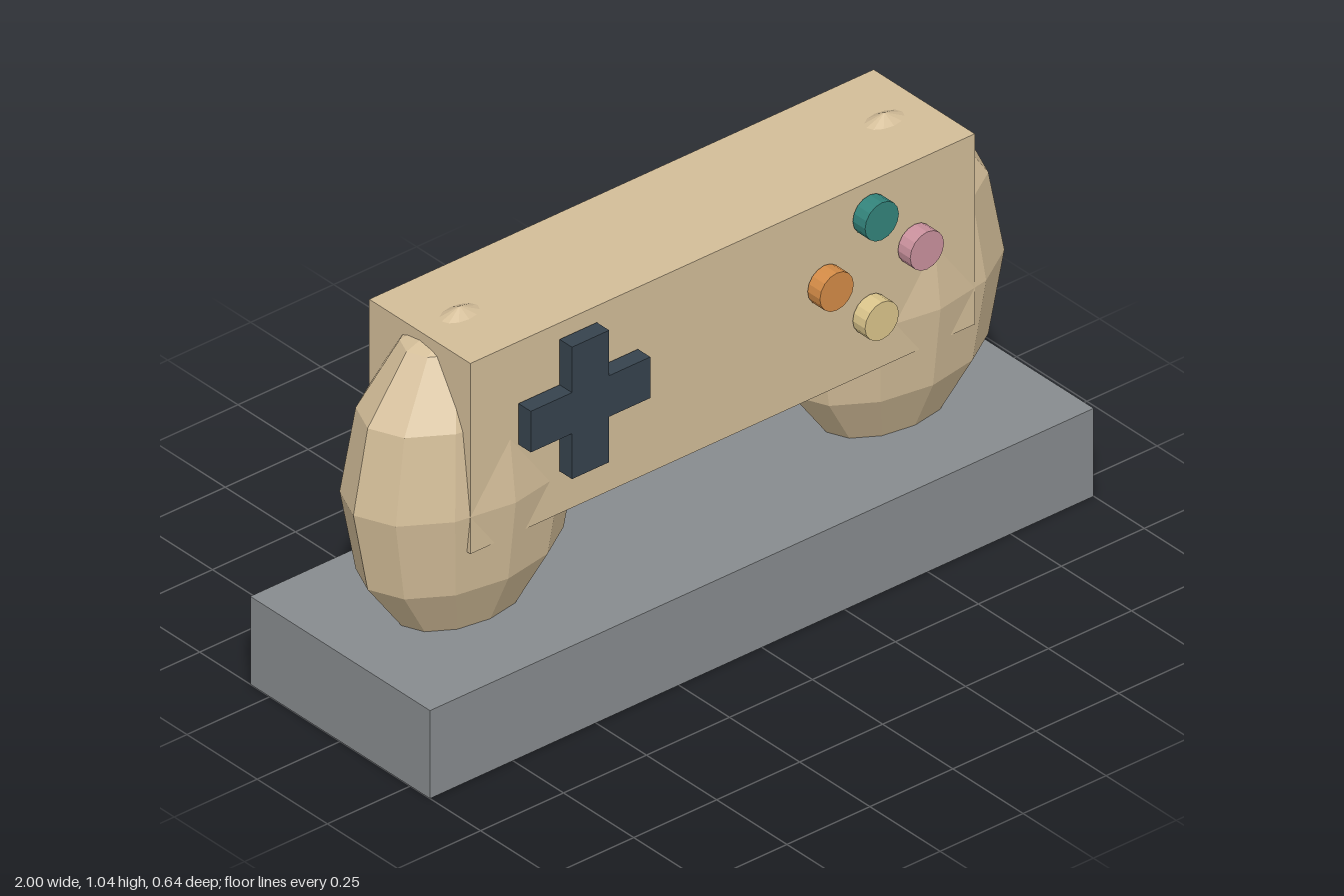
import * as THREE from 'three';

const paint = (color) => new THREE.MeshStandardMaterial({ color, flatShading: true });

export function createModel() {
  const model = new THREE.Group();
  model.name = 'gamepadOnStand';
  const shell = paint(0xd4be99);
  const slate = paint(0x888c8f);
  const dark = paint(0x36434e);

  const add = (name, geometry, material, x, y, z, parent = model) => {
    const mesh = new THREE.Mesh(geometry, material);
    mesh.name = name;
    mesh.position.set(x, y, z);
    parent.add(mesh);
    return mesh;
  };

  // Stand and controller body
  add('base', new THREE.BoxGeometry(2, 0.24, 0.64), slate, 0, 0.12, 0);
  add('body', new THREE.BoxGeometry(1.52, 0.52, 0.36), shell, 0, 0.76, 0);

  // Faceted egg-shaped grips, sunk into the base and through the body
  const gripGeometry = new THREE.SphereGeometry(1, 12, 6).scale(0.32, 0.44, 0.2);
  for (const side of [-1, 1]) {
    add(side > 0 ? 'leftGrip' : 'rightGrip', gripGeometry, shell, side * 0.64, 0.6, 0);
  }

  // Controls float just off the front face
  const depth = 0.044;
  const controlZ = 0.208;

  // Directional pad as one cross outline
  const a = 0.18, b = 0.056;
  const outline = [[b, b], [b, a], [-b, a], [-b, b], [-a, b], [-a, -b],
    [-b, -b], [-b, -a], [b, -a], [b, -b], [a, -b], [a, b]];
  const cross = new THREE.Shape(outline.map(([x, y]) => new THREE.Vector2(x, y)));
  const crossGeometry = new THREE.ExtrudeGeometry(cross, { depth, bevelEnabled: false })
    .translate(0, 0, -depth / 2);
  add('directionPad', crossGeometry, dark, -0.44, 0.8, controlZ);

  // Four round buttons in a diamond
  const buttons = new THREE.Group();
  buttons.name = 'buttons';
  buttons.position.set(0.438, 0.802, controlZ);
  model.add(buttons);
  const buttonGeometry = new THREE.CylinderGeometry(0.051, 0.051, depth, 16).rotateX(Math.PI / 2);
  const r = 0.136;
  [
    ['topButton', 0x33847c, 0, r],
    ['rightButton', 0xcb929e, r, 0],
    ['bottomButton', 0xdcc68c, 0, -r],
    ['leftButton', 0xd58c47, -r, 0],
  ].forEach(([name, color, x, y]) => add(name, buttonGeometry, paint(color), x, y, 0, buttons));

  return model;
}
